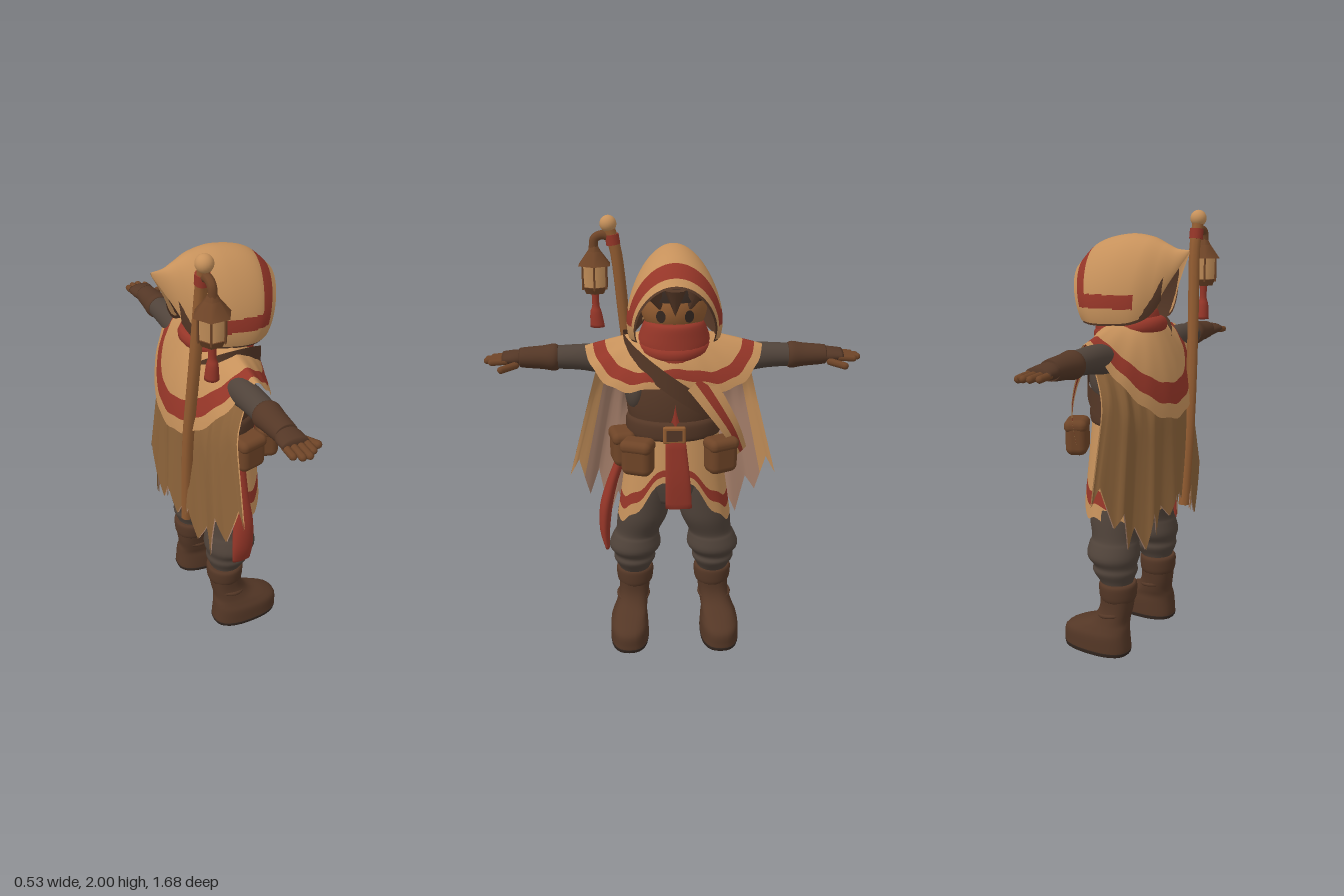
import * as THREE from 'three';
import { mergeVertices } from 'three/addons/utils/BufferGeometryUtils.js';
import { RoundedBoxGeometry } from 'three/addons/geometries/RoundedBoxGeometry.js';

const mat = (name, color) => {
  const m = new THREE.MeshStandardMaterial({ color, side: THREE.DoubleSide });
  m.name = name;
  return m;
};
const M = {
  tan: mat('tan cloth', 0xc6915b), red: mat('red cloth', 0x963628),
  dark: mat('dark leather', 0x543726), leather: mat('leather', 0x6e4427),
  cloth: mat('grey brown cloth', 0x50433a), cape: mat('worn cape', 0x8c633a),
  lining: mat('cape lining', 0xa9826d), wood: mat('wood and skin', 0x925c31),
  black: mat('sole black', 0x33261f),
};

// Smooth interpolation through rows of numbers
function spline(rows, t) {
  const n = rows.length - 1, f = Math.min(t * n, n - 1e-6), i = Math.floor(f), k = f - i;
  const r = j => rows[Math.max(0, Math.min(n, j))];
  return r(i).map((b, c) => {
    const a = r(i - 1)[c], d = r(i + 1)[c], e = r(i + 2)[c];
    return b + 0.5 * k * (d - a + k * (2 * a - 5 * b + 4 * d - e + k * (3 * (b - d) + e - a)));
  });
}

// Surface from fn(u, v); pick(centre, u, v) chooses one of the materials per face
function grid(name, fn, nu, nv, mats, pick = () => 0) {
  const pos = [], lists = mats.map(() => []);
  for (let j = 0; j <= nv; j++) for (let i = 0; i <= nu; i++) pos.push(...fn(i / nu, j / nv));
  for (let j = 0; j < nv; j++) for (let i = 0; i < nu; i++) {
    const a = j * (nu + 1) + i, b = a + nu + 1, u = (i + 0.5) / nu, v = (j + 0.5) / nv;
    lists[pick(fn(u, v), u, v)].push(a, b, a + 1, b, b + 1, a + 1);
  }
  let g = new THREE.BufferGeometry();
  g.setAttribute('position', new THREE.Float32BufferAttribute(pos, 3));
  g.setIndex(lists.flat());
  g = mergeVertices(g, 1e-5);
  g.clearGroups();
  let start = 0;
  lists.forEach((l, k) => { g.addGroup(start, l.length, k); start += l.length; });
  g.computeVertexNormals();
  const m = new THREE.Mesh(g, mats.length > 1 ? mats : mats[0]);
  m.name = name;
  return m;
}

// Upright body through rings [y, centre x, centre z, radius x, radius z]; power < 1 is squarer
const sp = (x, p) => Math.sign(x) * Math.abs(x) ** p;
function loft(name, rings, material, power = 1, sides = 28) {
  const last = rings.length - 1, segs = last * 4;
  const all = [[...rings[0].slice(0, 3), 0.001, 0.001], ...rings, [...rings[last].slice(0, 3), 0.001, 0.001]];
  return grid(name, (u, v) => {
    const j = Math.round(v * (segs + 2) * 2) / 2, a = u * Math.PI * 2;
    const r = j < 1 ? all[0] : j > segs + 1 ? all[last + 2] : spline(rings, (j - 1) / segs);
    return [r[1] + r[3] * sp(Math.cos(a), power), r[0], r[2] + r[4] * sp(Math.sin(a), power)];
  }, sides, segs + 2, [material]);
}

function part(name, geo, material, p = [0, 0, 0], rot = [0, 0, 0], scale = [1, 1, 1]) {
  const m = new THREE.Mesh(geo, material);
  m.name = name;
  m.position.set(...p); m.rotation.set(...rot); m.scale.set(...scale);
  return m;
}
const tube = (pts, r) => new THREE.TubeGeometry(new THREE.CatmullRomCurve3(pts.map(p => new THREE.Vector3(...p))), 24, r, 8);

// One leg with its boot, on the +x side
function leg() {
  const g = new THREE.Group();
  g.name = 'leg';
  g.add(loft('trouserLeg', [[0.33, 0.19, -0.02, 0.07, 0.07], [0.36, 0.19, -0.015, 0.08, 0.085], [0.4, 0.19, -0.01, 0.1, 0.105],
    [0.43, 0.19, -0.01, 0.098, 0.102], [0.475, 0.187, 0, 0.123, 0.122], [0.53, 0.18, 0, 0.11, 0.115], [0.56, 0.172, 0, 0.103, 0.108],
    [0.64, 0.15, 0.01, 0.117, 0.12], [0.72, 0.135, 0.015, 0.117, 0.12], [0.84, 0.11, 0.02, 0.1, 0.115], [0.95, 0.1, 0.02, 0.09, 0.1]], M.cloth));
  g.add(loft('boot', [[0.015, 0.22, 0.07, 0.092, 0.168], [0.035, 0.22, 0.07, 0.092, 0.168], [0.09, 0.22, 0.07, 0.09, 0.163],
    [0.125, 0.215, 0.045, 0.08, 0.135], [0.16, 0.205, 0.005, 0.075, 0.09], [0.22, 0.195, -0.02, 0.073, 0.075], [0.31, 0.19, -0.025, 0.08, 0.08]], M.dark, 0.8));
  g.add(loft('sole', [[0, 0.22, 0.07, 0.092, 0.166], [0.018, 0.22, 0.07, 0.094, 0.17]], M.black, 0.8));
  g.add(loft('bootCuff', [[0.26, 0.19, -0.025, 0.08, 0.08], [0.28, 0.19, -0.025, 0.087, 0.086],
    [0.33, 0.19, -0.025, 0.09, 0.088], [0.345, 0.19, -0.025, 0.08, 0.08]], M.dark));
  g.add(part('bootStrap', new THREE.TorusGeometry(0.072, 0.01, 8, 24), M.dark, [0.2, 0.19, -0.008], [Math.PI / 2 + 0.15, 0, 0]));
  return g;
}

// One arm with bracer and hand, on the +x side
function arm() {
  const g = new THREE.Group(), lay = new THREE.Group();
  g.name = 'arm';
  lay.rotation.z = -Math.PI / 2;
  lay.position.set(0, 1.405, -0.025);
  lay.add(loft('sleeve', [[0.14, 0.035, 0.01, 0.06, 0.055], [0.24, 0.022, 0.005, 0.068, 0.06], [0.33, 0.008, 0, 0.065, 0.056],
    [0.42, 0, 0, 0.057, 0.056], [0.54, 0, 0, 0.05, 0.054]], M.cloth));
  lay.add(loft('bracer', [[0.51, 0, 0, 0.053, 0.055], [0.53, 0, 0, 0.06, 0.063], [0.58, 0, 0, 0.052, 0.058],
    [0.65, 0, 0, 0.046, 0.053], [0.68, 0, 0, 0.042, 0.05]], M.dark));
  lay.add(loft('glove', [[0.66, 0, 0, 0.034, 0.044], [0.7, 0, -0.002, 0.033, 0.057], [0.755, 0, -0.002, 0.025, 0.058]], M.dark));
  g.add(lay);
  [0.785, 0.808, 0.805, 0.785].forEach((x, i) => g.add(part('finger', new THREE.CapsuleGeometry(0.0155, 0.06, 4, 8), M.leather,
    [x - 0.015, 1.398, 0.018 - i * 0.029], [0, 0, -Math.PI / 2 - 0.07])));
  g.add(part('thumb', new THREE.CapsuleGeometry(0.017, 0.07, 4, 8), M.leather, [0.725, 1.38, 0.047], [0, -0.65, -Math.PI / 2 - 0.1]));
  g.add(part('armhole', new THREE.SphereGeometry(1, 20, 14), M.cloth, [0.165, 1.28, 0.015], [0, 0, 0], [0.058, 0.115, 0.115]));
  return g;
}

function pouch(x, z, turn) {
  const g = new THREE.Group();
  g.name = 'pouch';
  g.add(part('pouchBag', new RoundedBoxGeometry(0.14, 0.16, 0.1, 3, 0.035), M.leather));
  g.add(part('pouchFlap', new RoundedBoxGeometry(0.145, 0.06, 0.106, 3, 0.028), M.leather, [0, 0.055, 0.002]));
  g.position.set(x, 1.01, z);
  g.rotation.y = turn;
  return g;
}

function lantern() {
  const g = new THREE.Group();
  g.name = 'lantern';
  const hex = (name, a, b, h, m, y) => g.add(part(name, new THREE.CylinderGeometry(a, b, h, 6).toNonIndexed(), m, [0, y, 0]));
  hex('lanternCap', 0.018, 0.035, 0.03, M.leather, 0.105);
  hex('lanternRoof', 0.032, 0.08, 0.06, M.leather, 0.065);
  hex('lanternGlass', 0.062, 0.052, 0.11, M.tan, -0.01);
  hex('lanternBase', 0.06, 0.045, 0.03, M.leather, -0.075);
  for (let i = 0; i < 6; i++) {
    const a = i * Math.PI / 3;
    g.add(part('lanternBar', new THREE.CylinderGeometry(0.005, 0.005, 0.12, 6), M.leather, [0.06 * Math.sin(a), -0.01, 0.06 * Math.cos(a)]));
  }
  g.add(loft('tassel', [[-0.245, 0.005, 0, 0.033, 0.03], [-0.18, 0, 0, 0.026, 0.024], [-0.145, 0, 0, 0.016, 0.016], [-0.08, 0, 0, 0.018, 0.018]], M.red));
  g.position.set(-0.345, 1.75, -0.17);
  return g;
}

// Hood sections: top z, top y, bottom z, bottom y, half width
const hoodRows = [[0.26, 1.775, 0.17, 1.53, 0.185], [0.16, 1.865, 0.11, 1.525, 0.215], [0.02, 1.9, 0.03, 1.525, 0.21],
  [-0.09, 1.89, -0.07, 1.535, 0.175], [-0.165, 1.86, -0.14, 1.58, 0.115], [-0.215, 1.84, -0.2, 1.7, 0.055], [-0.27, 1.835, -0.268, 1.82, 0.004]];
const hoodPoint = (u, v) => {
  const [zt, yt, zb, yb, w] = spline(hoodRows, v), a = u * Math.PI, s = Math.sin(a), f = s ** 1.05;
  return [-w * Math.cos(a) * (1 - 0.1 * (1 - s) ** 4), yb + (yt - yb) * f, zb + (zt - zb) * f];
};

// Ragged lower edge of the cape, from one side to the other
const rag = [0.8, 0.88, 0.68, 0.8, 0.54, 0.68, 0.58, 0.74, 0.64, 0.72, 0.61, 0.74, 0.65, 0.71, 0.58, 0.7, 0.54, 0.66, 0.56, 0.75, 0.69, 0.88, 0.8];
const capePoint = off => (u, v) => {
  const f = u * (rag.length - 1), i = Math.min(Math.floor(f), rag.length - 2), s = 2 * u - 1;
  const hem = rag[i] + (rag[i + 1] - rag[i]) * (f - i);
  const z = -0.1 - 0.095 * Math.sin(Math.min(v * 2.4, 1) * Math.PI / 2) - 0.015 * v;
  return [s * (0.33 + 0.16 * v), 1.41 - v * (1.41 - hem), z + 0.12 * s * s + 0.016 * v * Math.sin(u * 34) + off];
};

export function createModel() {
  const root = new THREE.Group(), body = new THREE.Group();
  body.name = 'traveller';
  body.rotation.y = Math.PI / 2;
  root.add(body);
  const add = (...m) => body.add(...m);

  // Limbs
  for (const s of [1, -1]) for (const make of [leg, arm]) {
    const g = make();
    g.scale.x = s;
    add(g);
  }

  // Torso and tunic skirt
  add(loft('hips', [[0.74, 0, 0.02, 0.12, 0.11], [0.85, 0, 0.02, 0.19, 0.13], [1.0, 0, 0.02, 0.18, 0.13]], M.cloth));
  add(loft('vest', [[0.95, 0, 0.02, 0.18, 0.135], [1.08, 0, 0.02, 0.19, 0.145], [1.2, 0, 0.02, 0.212, 0.155],
    [1.32, 0, 0.01, 0.205, 0.15], [1.42, 0, 0, 0.17, 0.11], [1.5, 0, 0, 0.1, 0.08]], M.dark));
  add(grid('tunicSkirt', (u, v) => {
    const a = u * Math.PI * 2, d = (a - Math.PI / 2) / 0.6;
    const hem = 0.65 + 0.24 * Math.exp(-d * d) + 0.012 * Math.sin(a * 11);
    return [(0.2 + 0.065 * v) * sp(Math.cos(a), 0.85), 1.09 - v * (1.09 - hem), 0.02 + (0.15 + 0.02 * v) * sp(Math.sin(a), 0.85)];
  }, 72, 28, [M.tan, M.red], (p, u, v) => (v > 0.7 && v < 0.86 ? 1 : 0)));
  add(part('chestSash', new THREE.ConeGeometry(0.05, 0.14, 3), M.red, [0, 1.2, 0.168], [0, 0, 0], [1, 1, 0.5]));

  // Belt, buckle, pouches and hanging sashes
  add(loft('belt', [[1.07, 0, 0.02, 0.205, 0.158], [1.085, 0, 0.02, 0.216, 0.17], [1.14, 0, 0.02, 0.216, 0.17], [1.16, 0, 0.02, 0.205, 0.158]], M.dark));
  add(part('buckle', new RoundedBoxGeometry(0.1, 0.08, 0.02, 2, 0.009), M.wood, [-0.005, 1.11, 0.195]));
  add(part('buckleCentre', new THREE.BoxGeometry(0.07, 0.05, 0.008), M.dark, [-0.005, 1.11, 0.204]));
  add(pouch(-0.165, 0.195, -0.35), pouch(-0.235, 0.065, -1.35), pouch(0.2, 0.18, 0.45));
  add(loft('frontSash', [[0.75, 0.015, 0.185, 0.06, 0.012], [0.9, 0.01, 0.195, 0.055, 0.014], [1.08, 0, 0.193, 0.045, 0.012]], M.red, 0.7));
  add(loft('sideSash', [[0.46, -0.32, -0.005, 0.012, 0.045], [0.55, -0.33, -0.005, 0.024, 0.052], [0.68, -0.32, 0, 0.03, 0.05], [0.8, -0.29, 0, 0.026, 0.042],
    [0.92, -0.25, 0.01, 0.022, 0.035], [1.08, -0.205, 0.02, 0.014, 0.03]], M.red));

  // Cape, and its lining with turned edges
  add(grid('cape', capePoint(0), 88, 14, [M.cape]));
  add(grid('capeLining', capePoint(0.006), 88, 14, [M.lining, M.tan], (p, u) => (Math.abs(u - 0.5) > 0.43 ? 1 : 0)));

  // Shoulder mantle with striped border
  add(grid('mantle', (u, v) => {
    const a = u * Math.PI * 2, s = Math.sin(a), k = Math.abs(s);
    const drop = s > 0 ? 0.26 * k ** 1.3 - 0.13 * k ** 6 : 0.36 * k ** 1.3;
    const y = 1.53 + (1.465 - drop - 1.53) * v ** 1.25 + 0.006 * Math.sin(a * 17) * v * v;
    return [(0.11 + 0.28 * v) * Math.cos(a), y, (0.1 + 0.1 * Math.sin(v * Math.PI / 2)) * s - (s < 0 ? 0.025 * v * k : 0)];
  }, 96, 32, [M.tan, M.red], (p, u, v) => (v > 0.68 && v < 0.86 ? 1 : 0)));

  // Diagonal strap and striped drape across the chest
  add(grid('chestStrap', (u, v) => {
    const a = u * Math.PI * 2, x = 0.222 * Math.cos(a), s = Math.sin(a);
    return [x, 1.28 - 0.72 * x + 0.09 * v, s * (s > 0 ? 0.21 : 0.15)];
  }, 48, 3, [M.dark]));
  const drape = [[0.1, 1.36, 0.19], [0.18, 1.24, 0.198], [0.25, 1.12, 0.175], [0.3, 1.0, 0.12]];
  add(grid('chestDrape', (u, v) => {
    const [x, y, z] = spline(drape, v), w = (u - 0.5) * 0.13 * (1 - 0.55 * v);
    return [x + w * 0.75, y + w * 0.55, z - w * 0.45];
  }, 9, 16, [M.tan, M.red], (p, u) => (u > 0.33 && u < 0.67 ? 1 : 0)));

  // Scarf, head and face
  add(loft('scarf', [[1.38, 0, 0.07, 0.06, 0.09], [1.42, 0, 0.04, 0.12, 0.14], [1.48, 0, 0.025, 0.16, 0.15],
    [1.53, 0, 0.03, 0.15, 0.142], [1.575, 0, 0.035, 0.132, 0.133], [1.59, 0, 0.04, 0.115, 0.115]], M.red));
  add(part('scarfFold', new THREE.TorusGeometry(0.13, 0.03, 10, 36), M.red, [0, 1.485, 0.02], [Math.PI / 2 + 0.2, 0, 0], [1.05, 1.05, 1.2]));
  add(part('head', new THREE.SphereGeometry(0.145, 28, 20), M.wood, [0, 1.65, 0.02], [0, 0, 0], [1, 1, 0.95]));
  add(part('hair', new THREE.SphereGeometry(0.155, 28, 14, 0, Math.PI * 2, 0, 1.4), M.black, [0, 1.66, 0.02]));
  for (const s of [-1, 0, 1])
    add(part('hairTuft', new THREE.ConeGeometry(0.045, 0.11, 8), M.dark, [s * 0.07, 1.685, 0.165 - 0.03 * s * s], [Math.PI, 0, s * 0.35]));
  for (const s of [-1, 1])
    add(part('eye', new THREE.CircleGeometry(0.024, 16), M.black, [s * 0.06, 1.625, 0.148], [0, s * 0.42, 0], [0.9, 1.1, 1]));

  // Hood with striped border and dark inside
  add(grid('hoodLining', (u, v) => {
    const p = hoodPoint(u, v * 0.75);
    return [p[0] * 0.96, p[1] - 0.01, p[2] - 0.004];
  }, 40, 20, [M.dark]));
  add(grid('hood', hoodPoint, 160, 120, [M.tan, M.red], (p, u, v) => {
    const border = v > 0.055 && v < 0.14 && p[1] > 1.59;
    const lower = p[1] > 1.59 && p[1] < 1.65 && v >= 0.14 && v < 0.52;
    return border || lower ? 1 : 0;
  }));

  // Staff with hook, orb and lantern
  add(part('staff', tube([[-0.13, 0.65, -0.195], [-0.17, 1.1, -0.2], [-0.215, 1.5, -0.185], [-0.25, 1.85, -0.17], [-0.275, 1.94, -0.17]], 0.026), M.wood));
  add(part('staffHook', tube([[-0.25, 1.84, -0.17], [-0.265, 1.895, -0.17], [-0.305, 1.915, -0.17], [-0.34, 1.9, -0.17], [-0.348, 1.855, -0.17]], 0.02), M.leather));
  add(part('staffWrap', new THREE.CylinderGeometry(0.031, 0.031, 0.045, 12), M.red, [-0.262, 1.895, -0.17], [0, 0, 0.15]));
  add(part('staffOrb', new THREE.SphereGeometry(0.037, 20, 14), M.tan, [-0.28, 1.963, -0.17]));
  add(lantern());
  return root;
}
